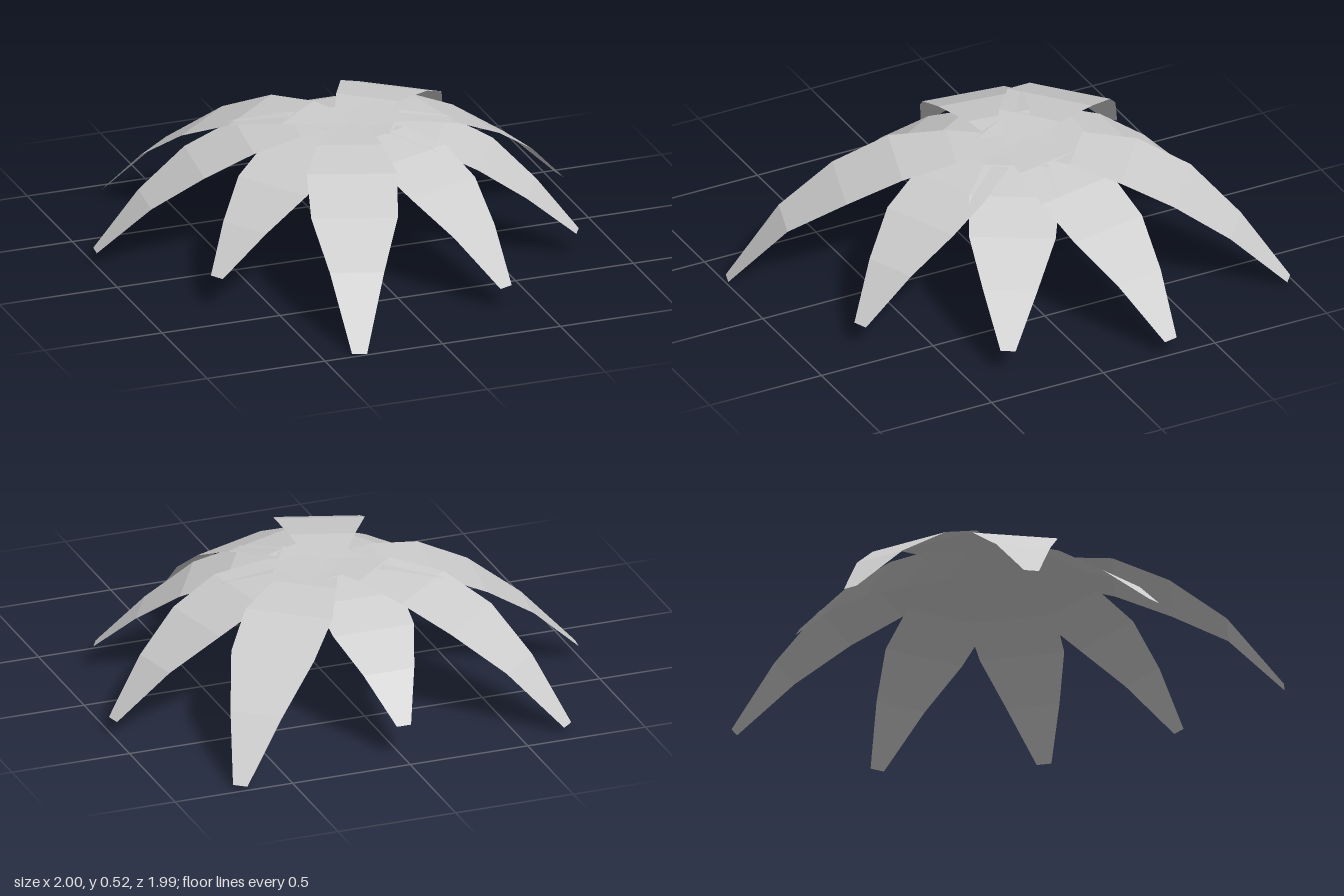
import * as THREE from 'three';

// Half widths along a leaf, from the base to the blunt tip
const HALF_WIDTHS = [0.07, 0.13, 0.18, 0.172, 0.108, 0.03];

// Each leaf: base [x, z], tip [x, z], heights from base to tip
const LEAVES = [
  { base: [0.045, -0.14], tip: [0.715, -0.98], y: [0.518, 0.525, 0.49, 0.40, 0.24, 0.02] },
  { base: [0.0, -0.1], tip: [0.0, -0.932], y: [0.512, 0.522, 0.49, 0.42, 0.31, 0.145] },
  { base: [0.01, -0.1], tip: [-0.7, -0.922], y: [0.517, 0.525, 0.49, 0.40, 0.25, 0.03] },
  { base: [0.01, -0.13], tip: [-0.995, -0.26], y: [0.516, 0.524, 0.49, 0.40, 0.26, 0.06] },
  { base: [0.06, -0.12], tip: [-0.705, 0.335], y: [0.513, 0.523, 0.49, 0.41, 0.29, 0.135] },
  { base: [0.01, -0.09], tip: [-0.345, 0.98], y: [0.519, 0.526, 0.495, 0.40, 0.26, 0.005] },
  { base: [0.02, -0.1], tip: [0.363, 0.755], y: [0.514, 0.523, 0.49, 0.41, 0.28, 0.098] },
  { base: [0.03, -0.13], tip: [0.826, 0.335], y: [0.515, 0.524, 0.49, 0.41, 0.275, 0.105] },
  { base: [0.03, -0.11], tip: [0.995, -0.305], y: [0.52, 0.525, 0.49, 0.40, 0.265, 0.07] },
];

// Faceted strip that arches from the crown down to the tip
function leafGeometry({ base, tip, y }) {
  const dx = tip[0] - base[0], dz = tip[1] - base[1];
  const len = Math.hypot(dx, dz);
  const side = [-dz / len, dx / len];
  const positions = [], index = [];
  HALF_WIDTHS.forEach((w, i) => {
    const t = i / (HALF_WIDTHS.length - 1);
    for (const s of [-1, 1]) {
      positions.push(base[0] + dx * t + side[0] * w * s, y[i], base[1] + dz * t + side[1] * w * s);
    }
    if (i > 0) {
      const a = 2 * i - 2;
      index.push(a, a + 1, a + 2, a + 1, a + 3, a + 2);
    }
  });
  const indexed = new THREE.BufferGeometry();
  indexed.setAttribute('position', new THREE.Float32BufferAttribute(positions, 3));
  // Reverse the corners so the upper side is the front
  for (let i = 0; i < index.length; i += 3) [index[i + 1], index[i + 2]] = [index[i + 2], index[i + 1]];
  indexed.setIndex(index);
  const geometry = indexed.toNonIndexed();
  geometry.computeVertexNormals();
  return geometry;
}

export function createModel() {
  const model = new THREE.Group();
  model.name = 'leafRosette';
  const material = new THREE.MeshStandardMaterial({
    color: 0xcccccc, flatShading: true, side: THREE.DoubleSide,
  });
  material.name = 'pale grey';
  LEAVES.forEach((leaf, i) => {
    const mesh = new THREE.Mesh(leafGeometry(leaf), material);
    mesh.name = `leaf${i + 1}`;
    model.add(mesh);
  });
  return model;
}
